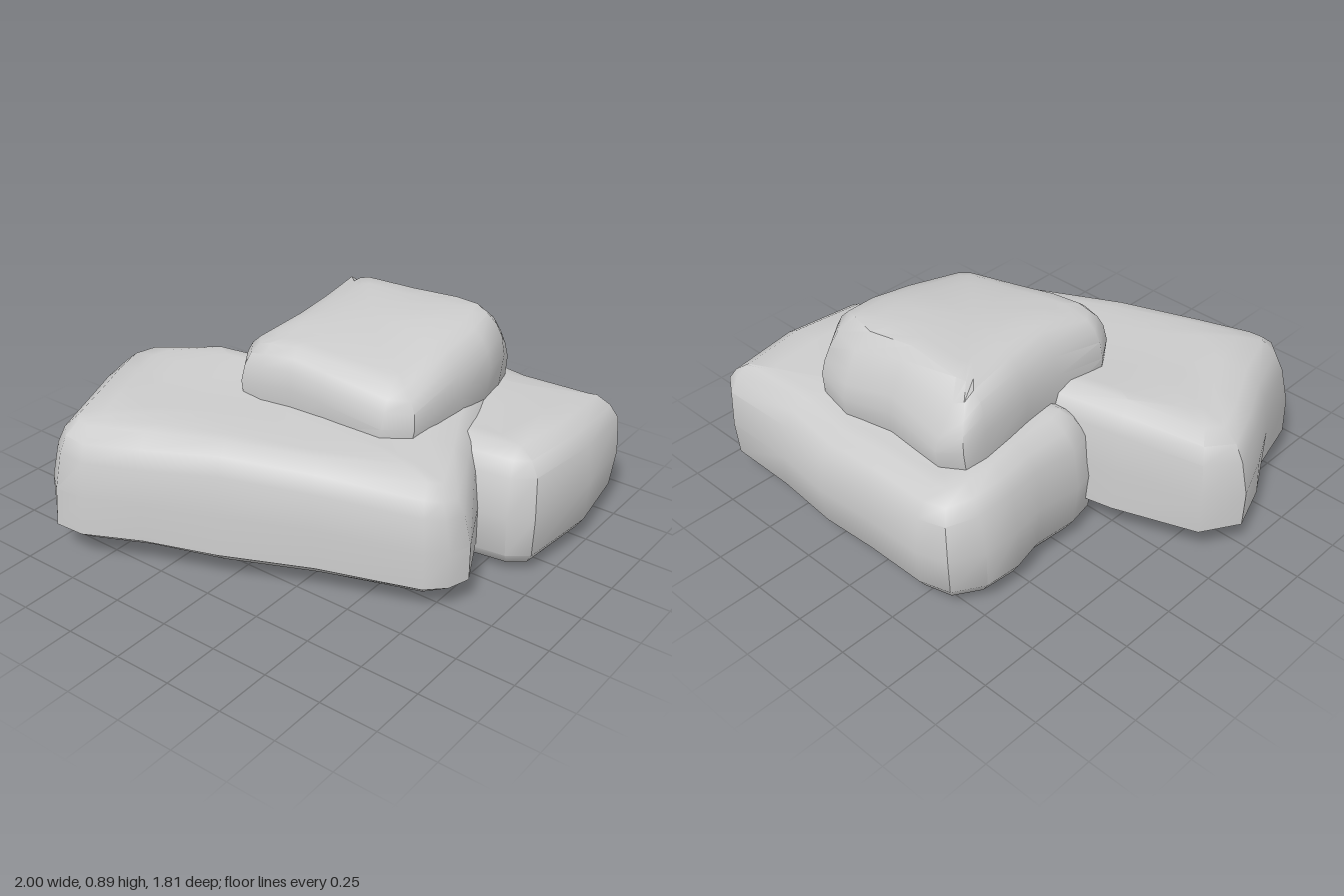
import * as THREE from 'three';
import { mergeVertices, toCreasedNormals } from 'three/addons/utils/BufferGeometryUtils.js';

// Moves a closed [x, z] outline (clockwise from above) inward by a distance.
function inset(outline, d) {
  const n = outline.length;
  return outline.map(([x, z], i) => {
    const a = outline[(i + n - 1) % n], b = outline[(i + 1) % n];
    const tx = b[0] - a[0], tz = b[1] - a[1], l = Math.hypot(tx, tz);
    return [x - (tz / l) * d, z + (tx / l) * d];
  });
}

// Stone: stacked rings of the outline between an uneven bottom and top surface.
// levels: [height 0..1, inset]; both ends are closed by rings shrinking to the centre.
function stone(name, outline, levels, bottom, top, material) {
  const n = outline.length;
  const cx = outline.reduce((s, p) => s + p[0], 0) / n;
  const cz = outline.reduce((s, p) => s + p[1], 0) / n;
  const shrink = (ring, k) => ring.map(([x, z]) => [cx + (x - cx) * k, cz + (z - cz) * k]);
  const first = levels[0], last = levels[levels.length - 1];
  const rings = [
    ...[0.001, 0.4, 0.75].map((k) => [first[0], shrink(inset(outline, first[1]), k)]),
    ...levels.map(([t, d]) => [t, inset(outline, d)]),
    ...[0.85, 0.65, 0.4, 0.001].map((k) => [last[0], shrink(inset(outline, last[1]), k)]),
  ];
  const pos = [], index = [];
  rings.forEach(([t, ring]) => ring.forEach(([x, z]) => {
    const wave = 0.008 * Math.sin(7 * x + 3 * z + 4 * t) * Math.cos(6 * z - 2 * x);
    pos.push(x + wave, THREE.MathUtils.lerp(bottom(x, z), top(x, z), t) + wave, z - wave);
  }));
  for (let r = 0; r < rings.length - 1; r++) {
    for (let i = 0; i < n; i++) {
      const a = r * n + i, b = r * n + (i + 1) % n;
      index.push(a, a + n, b, b, a + n, b + n);
    }
  }
  const geo = new THREE.BufferGeometry();
  geo.setAttribute('position', new THREE.Float32BufferAttribute(pos, 3));
  geo.setIndex(index);
  const mesh = new THREE.Mesh(toCreasedNormals(mergeVertices(geo), 0.7), material);
  mesh.name = name;
  return mesh;
}

export function createModel() {
  const group = new THREE.Group();
  group.name = 'stackedStones';
  const mat = new THREE.MeshStandardMaterial({ color: 0xcccccc });
  const over = (v, limit) => Math.max(0, v - limit);

  // Long stone lying diagonally across the front, its ends sloping down
  group.add(stone('frontStone', [
    [-0.99, 0.2], [-0.9, 0.04], [-0.57, -0.09], [-0.3, -0.14], [0.1, -0.3], [0.42, -0.46],
    [0.55, -0.46], [0.67, -0.2], [0.75, -0.02], [0.85, 0.2], [0.82, 0.3], [0.75, 0.37],
    [0.35, 0.53], [0, 0.68], [-0.3, 0.8], [-0.53, 0.9], [-0.66, 0.9], [-0.75, 0.82],
    [-0.83, 0.57], [-0.92, 0.4],
  ], [[0, 0.11], [0.16, 0], [0.5, 0], [0.8, 0.02], [0.93, 0.05], [1, 0.11]],
  (x) => 0.065 - 0.02 * x,
  (x, z) => 0.615 - 0.05 * x - 0.03 * z - 0.32 * over(-x, 0.64) - 0.25 * over(x, 0.6)
    - 0.25 * over(z, 0.65), mat));

  // Broad stone at the back, its underside rounded
  group.add(stone('backStone', [
    [-0.44, -0.08], [-0.47, -0.2], [-0.46, -0.4], [-0.49, -0.55], [-0.48, -0.72], [-0.41, -0.85],
    [-0.28, -0.89], [0, -0.89], [0.25, -0.9], [0.53, -0.87], [0.87, -0.87], [0.96, -0.8],
    [1, -0.48], [0.96, -0.13], [0.87, -0.05], [0.68, -0.02], [0.3, -0.02], [-0.1, -0.02],
    [-0.35, -0.02],
  ], [[0, 0.12], [0.07, 0.045], [0.17, 0.01], [0.5, 0], [0.82, 0.02], [0.93, 0.06], [1, 0.12]],
  (x, z) => 0.03 - 0.02 * Math.cos(4 * (z + 0.2)),
  (x, z) => 0.57 - 0.15 * over(-z, 0.55) - 0.02 * over(x, 0), mat));

  // Smaller stone resting on both, its top falling away at the back and the corners
  group.add(stone('topStone', [
    [-0.23, 0.24], [-0.31, 0.13], [-0.28, -0.1], [-0.3, -0.3], [-0.34, -0.55], [-0.32, -0.65],
    [-0.22, -0.7], [0.07, -0.68], [0.29, -0.72], [0.47, -0.68], [0.52, -0.55], [0.54, -0.4],
    [0.54, -0.2], [0.52, 0.1], [0.42, 0.18], [0.15, 0.2], [0, 0.22], [-0.13, 0.25],
  ], [[0, 0.03], [0.25, 0.01], [0.6, 0], [0.8, 0.015], [0.92, 0.04], [1, 0.08]],
  () => 0.47,
  (x, z) => 0.865 - 0.04 * z - 0.1 * over(z, 0) - 1.2 * over(-z, 0.57)
    - 0.25 * over(-x, 0.12) - 0.2 * over(x, 0.35) - 0.4 * over(x, 0) * over(z, -0.3), mat));

  return group;
}
